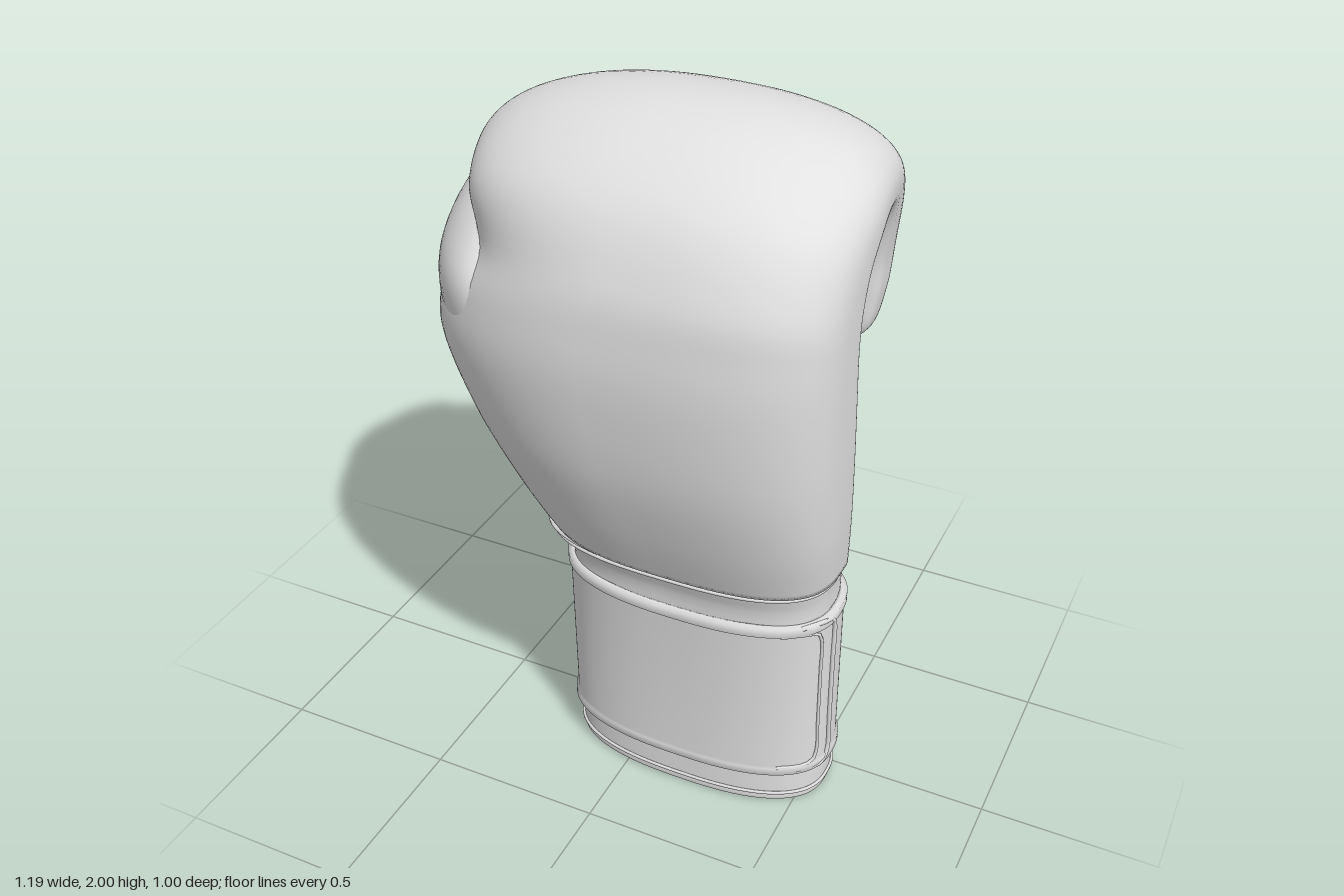
import * as THREE from 'three';

const leather = new THREE.MeshStandardMaterial({ color: 0xe1e1e1 });
leather.name = 'light grey leather';
const dark = new THREE.MeshStandardMaterial({ color: 0x2e2e2e });
dark.name = 'dark webbing';

const V = (x, y, z) => new THREE.Vector3(x, y, z);
// signed power used for superellipse sections
const sp = (v, n) => Math.sign(v) * Math.pow(Math.abs(v), 2 / n);

// smooth interpolation between the rows of a small table, t in 0..1
function rowAt(rows, t) {
  const f = THREE.MathUtils.clamp(t, 0, 1) * (rows.length - 1);
  const i = Math.min(Math.floor(f), rows.length - 2), u = f - i;
  const at = (k) => rows[THREE.MathUtils.clamp(k, 0, rows.length - 1)];
  return rows[i].map((p1, c) => {
    const p0 = at(i - 1)[c], p2 = at(i + 1)[c], p3 = at(i + 2)[c];
    return 0.5 * (2 * p1 + (p2 - p0) * u + (2 * p0 - 5 * p1 + 4 * p2 - p3) * u * u
      + (3 * p1 - p0 - 3 * p2 + p3) * u * u * u);
  });
}

// closed skin over rings of points; point(angle, t) gives the surface
function loft(point, around, along) {
  const pos = [], idx = [], mids = [];
  for (let j = 0; j <= along; j++) {
    const mid = V(0, 0, 0);
    for (let i = 0; i < around; i++) {
      const p = point((i / around) * Math.PI * 2, j / along);
      mid.addScaledVector(p, 1 / around);
      pos.push(p.x, p.y, p.z);
    }
    mids.push(mid);
  }
  for (let j = 0; j < along; j++) for (let i = 0; i < around; i++) {
    const a = j * around + i, b = j * around + (i + 1) % around;
    idx.push(a, b, b + around, a, b + around, a + around);
  }
  [0, along].forEach((j) => {
    const c = pos.length / 3;
    pos.push(mids[j].x, mids[j].y, mids[j].z);
    for (let i = 0; i < around; i++) {
      const a = j * around + i, b = j * around + (i + 1) % around;
      j ? idx.push(a, b, c) : idx.push(b, a, c);
    }
  });
  // turn the skin outward
  let vol = 0;
  const P = (k) => V(pos[3 * k], pos[3 * k + 1], pos[3 * k + 2]);
  for (let k = 0; k < idx.length; k += 3) vol += P(idx[k]).dot(P(idx[k + 1]).cross(P(idx[k + 2])));
  if (vol < 0) idx.reverse();
  const g = new THREE.BufferGeometry();
  g.setAttribute('position', new THREE.Float32BufferAttribute(pos, 3));
  g.setIndex(idx);
  g.computeVertexNormals();
  return g;
}

// padding stations: outer z,y / inner z,y / left, right edge / left, right roundness / left widest point
const PAD = [
  [0.34, 0.785, 0.0, 0.785, -0.30, 0.57, 2.6, 3, 0.05],
  [0.405, 0.95, 0.03, 0.95, -0.415, 0.584, 2.2, 3, 0.05],
  [0.465, 1.15, 0.05, 1.15, -0.525, 0.59, 2, 3, 0.05],
  [0.495, 1.38, 0.07, 1.33, -0.585, 0.592, 2, 3, 0.05],
  [0.492, 1.54, 0.085, 1.46, -0.55, 0.592, 2, 3, 0.05],
  [0.465, 1.68, 0.085, 1.55, -0.42, 0.592, 2.2, 2.9, 0.2],
  [0.37, 1.85, 0.06, 1.63, -0.45, 0.592, 2.3, 2.6, 0.35],
  [0.19, 1.965, 0.01, 1.69, -0.475, 0.59, 2.1, 2.25, 0.4],
  [0, 2.0, -0.05, 1.71, -0.465, 0.578, 2.1, 2.2, 0.4],
  [-0.2, 1.96, -0.12, 1.70, -0.41, 0.56, 2.3, 2.3, 0.4],
  [-0.36, 1.86, -0.18, 1.67, -0.38, 0.54, 2.6, 2.6, 0.4],
  [-0.46, 1.72, -0.21, 1.60, -0.355, 0.52, 2.8, 3, 0.4],
  [-0.5, 1.55, -0.225, 1.5, -0.34, 0.50, 2.8, 3, 0.4],
  [-0.47, 1.39, -0.23, 1.40, -0.33, 0.49, 2.8, 3, 0.4],
  [-0.415, 1.275, -0.235, 1.305, -0.31, 0.465, 2.6, 3, 0.4],
  [-0.345, 1.23, -0.265, 1.245, -0.24, 0.40, 2.4, 3, 0.5],
];
function padPoint(a, t) {
  const [oz, oy, iz, iy, xl, xr, nl, nr, el] = rowAt(PAD, t);
  const c = Math.cos(a), s = Math.sin(a), mid = (xl + xr) / 2;
  const n = s < 0 ? 4 : c > 0 ? nr : nl, e = c > 0 ? 0.3 : el;
  const k = e + (s > 0 ? 1 - e : e) * sp(s, n);
  return V(mid + (xr - xl) / 2 * sp(c, n), iy + (oy - iy) * k, iz + (oz - iz) * k);
}

// horizontal section rows: y, x min, x max, z front, z back
const PALM = [
  [0.6, -0.22, 0.545, 0.285, -0.115], [0.7, -0.22, 0.545, 0.29, -0.115],
  [0.8, -0.285, 0.553, 0.315, -0.12], [0.9, -0.30, 0.55, 0.22, -0.12],
  [1.0, -0.36, 0.54, 0.22, -0.11], [1.1, -0.38, 0.53, 0.22, -0.09],
  [1.2, -0.38, 0.52, 0.22, -0.06], [1.3, -0.36, 0.51, 0.22, -0.02],
  [1.4, -0.34, 0.50, 0.22, 0.02], [1.5, -0.33, 0.50, 0.22, 0.03], [1.6, -0.33, 0.50, 0.22, 0.04],
];
const THUMB = [
  [0.80, -0.285, -0.08, 0.16, -0.10], [0.93, -0.392, -0.13, 0.20, -0.12],
  [1.06, -0.482, -0.18, 0.25, -0.135], [1.18, -0.54, -0.22, 0.30, -0.19],
  [1.29, -0.577, -0.25, 0.345, -0.30], [1.42, -0.60, -0.28, 0.39, -0.385],
  [1.55, -0.598, -0.31, 0.39, -0.42], [1.65, -0.575, -0.335, 0.315, -0.41],
  [1.73, -0.53, -0.36, 0.20, -0.365], [1.775, -0.48, -0.40, 0.07, -0.28], [1.785, -0.45, -0.42, 0, -0.2],
];
const CUFF = [[0, -0.215, 0.552, 0.265, -0.118], [0.11, -0.22, 0.555, 0.272, -0.12]];
const STRAP = [[0.11, -0.232, 0.56, 0.276, -0.132], [0.66, -0.23, 0.562, 0.305, -0.122]];
function section(rows, a, t, n, off = 0) {
  const [y, x0, x1, zf, zb] = rowAt(rows, t);
  const c = sp(Math.cos(a), n), s = sp(Math.sin(a), n);
  return V((x0 + x1) / 2 + ((x1 - x0) / 2 + off) * c, y, (zf + zb) / 2 + ((zf - zb) / 2 + off) * s);
}
// thumb sections curve inward at both ends, like a banana
function thumbPoint(a, t) {
  const p = section(THUMB, a, t, 2.2), s = sp(Math.sin(a), 2.2);
  p.x += (s > 0 ? 0.1 : 0.055) * s * s;
  return p;
}
// surface point on the back of the palm
function palmBack(x, y) {
  const [, x0, x1, zf, zb] = rowAt(PALM, y - 0.6);
  const u = Math.min(1, Math.abs((x - (x0 + x1) / 2) / ((x1 - x0) / 2)));
  return V(x, y, (zf + zb) / 2 - (zf - zb) / 2 * Math.pow(1 - u ** 2.8, 1 / 2.8) - 0.002);
}

export function createModel() {
  const glove = new THREE.Group();
  glove.name = 'glove';
  const add = (name, geo, mat = leather) => {
    const m = new THREE.Mesh(geo, mat);
    m.name = name;
    glove.add(m);
    return m;
  };
  const piping = (name, pts, r = 0.006) =>
    add(name, new THREE.TubeGeometry(new THREE.CatmullRomCurve3(pts), pts.length * 3, r, 6));
  const sample = (n, f) => Array.from({ length: n + 1 }, (_, i) => f(i / n));

  // main body
  add('knucklePadding', loft(padPoint, 96, 90));
  add('palm', loft((a, t) => section(PALM, a, t, 2.8), 72, 40));
  add('thumb', loft(thumbPoint, 64, 50));

  // finger pocket lining inside the curl
  const lining = add('fingerLining', new THREE.CapsuleGeometry(0.16, 2.1, 10, 28));
  lining.rotation.z = Math.PI / 2;
  lining.scale.set(0.66, 0.355, 1.06);
  lining.position.set(0.08, 1.64, -0.07);

  // webbing between thumb and curl
  const web = add('thumbWebbing', new THREE.BoxGeometry(0.045, 0.07, 0.15), dark);
  web.position.set(-0.388, 1.765, -0.222);
  web.rotation.y = -0.27;

  // hollow cuff with a notch at the back of the hem
  const cuffY = [0.62, 0.1, 0.05, 0.012, 0.004, 0, 0, 0.004, 0.1, 0.3, 0.58];
  const cuffOff = [0, 0, 0, 0, 0, -0.004, -0.014, -0.018, -0.018, -0.018, -0.018];
  add('cuff', loft((a, t) => {
    const k = Math.round(t * 10), p = section(CUFF, a, 0, 2.5, cuffOff[k]);
    const notch = p.z < 0 && Math.abs(p.x - 0.185) < 0.027 ? 0.1 : 0;
    p.y = Math.max(cuffY[k], notch);
    return p;
  }, 240, 10));
  piping('hemPiping', sample(120, (u) => {
    const p = section(CUFF, 4.82 + u * 6.0, 0, 2.5, 0.003);
    p.y = 0.03;
    return p;
  }), 0.005);

  // wrist strap, a hollow sleeve with raised binding at both edges
  const strapF = [0.9, 0.997, 1, 0.995, 0.915, 0.905, 0.5, 0.088, 0.078, 0.005, 0, 0.003, 0.1, 0.88];
  const strapOff = [-0.02, -0.016, -0.008, 0.007, 0.007, 0, 0, 0, 0.007, 0.007, -0.002, -0.012, -0.018, -0.02];
  add('wristStrap', loft((a, t) => {
    const k = Math.round(t * 13);
    return section(STRAP, a, strapF[k], 2.5, strapOff[k]);
  }, 128, 13));
  // rounded strap end on the side
  for (const [a0, lo, hi, r] of [[0.1, 0.02, 0.98, 0.007], [0.32, 0.08, 0.91, 0.005]]) {
    const path = [[0.5, lo], [0.2, lo], [0.06, lo + 0.02], [0, lo + 0.09], [0, 0.35], [0, 0.65],
      [0, hi - 0.09], [0.06, hi - 0.02], [0.2, hi], [0.5, hi]];
    piping('strapEnd', path.map(([da, f]) => section(STRAP, a0 + da, f, 2.5, 0.003)), r);
  }

  // seams round the neck below the padding
  for (const y of [0.762, 0.78]) {
    piping('neckSeam', sample(48, (u) => section(PALM, 0.03 + u * (Math.PI - 0.06), y - 0.6, 2.8, 0.004)), 0.006);
  }
  // seam along the open inner edge of the padding
  piping('paddingSeam', sample(50, (u) => padPoint(-0.75, 0.02 + u * 0.95)), 0.006);

  // arched stitching round the palm opening
  for (const w of [0.035, 0.1]) {
    const top = 1.13 + w * 0.5;
    const arch = [[-w * 0.7, 0.66], [-w * 0.85, 0.85], [-w, top - 0.06], [-w * 0.7, top + 0.02], [0, top + 0.05],
      [w * 0.7, top + 0.02], [w, top - 0.06], [w * 0.85, 0.85], [w * 0.7, 0.66]];
    piping('palmArch', arch.map(([x, y]) => palmBack(x + 0.18, y)), 0.006);
  }
  for (const s of [-1, 1]) for (const y of [0.85, 1.0]) {
    piping('laceBar', [0.04, 0.065, 0.09].map((w) => palmBack(0.18 + s * w, y)), 0.004);
  }
  piping('gripSeam', sample(8, (u) => palmBack(-0.1 + u * 0.5, 1.32)), 0.006);
  piping('palmCrease', sample(6, (u) => palmBack(0.33 + u * 0.14, 1.12 + u * 0.1)), 0.006);

  // seam down the inner face of the thumb
  piping('thumbSeam', sample(24, (u) => thumbPoint(-0.95, 0.05 + u * 0.85)), 0.005);
  return glove;
}
